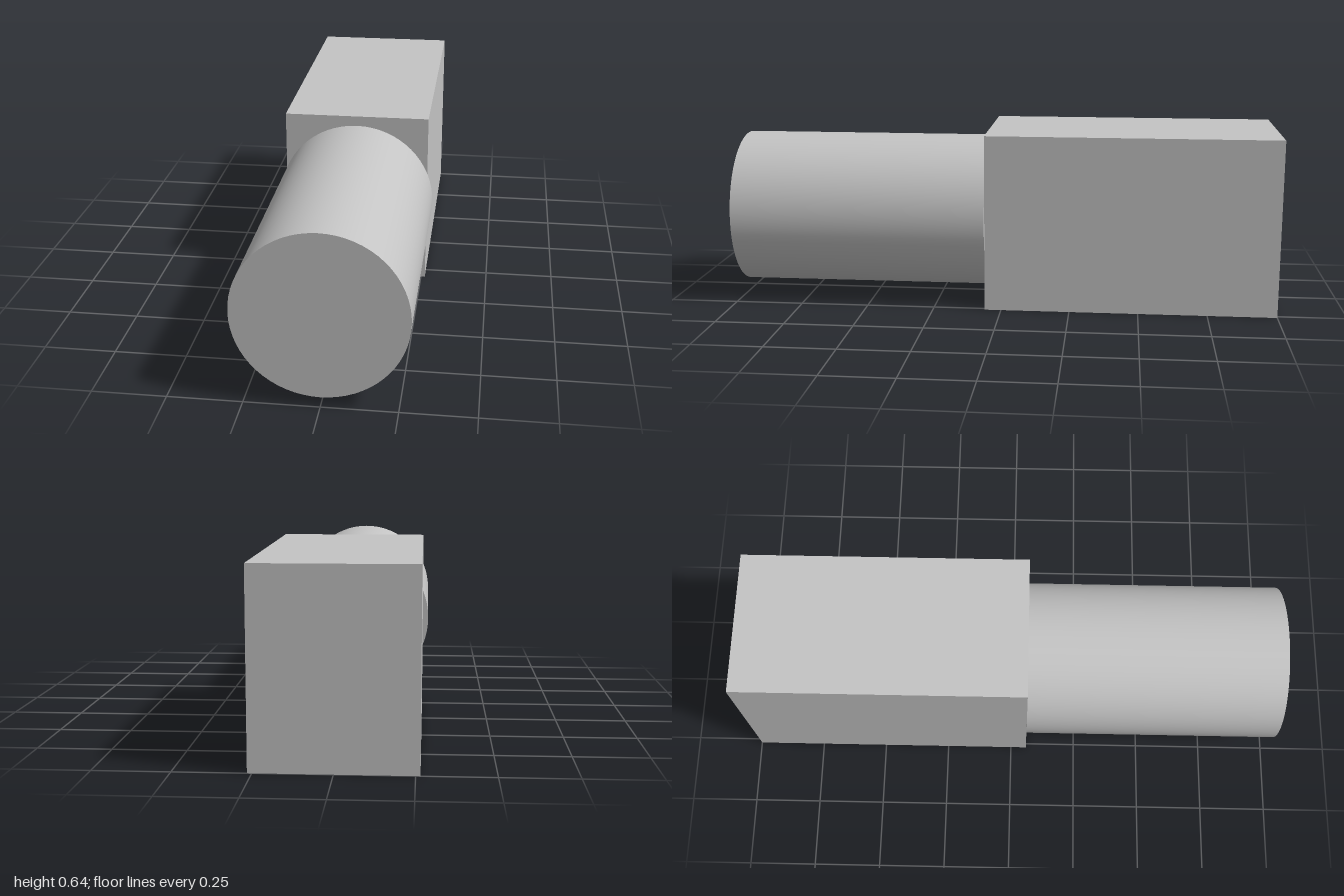
import * as THREE from 'three';

export function createModel() {
  const group = new THREE.Group();
  const grey = new THREE.MeshStandardMaterial({ color: 0xc4c4c4 });
  grey.name = 'plain grey';

  const height = 0.645;
  const joint = 0.06; // z where the block meets the cylinder

  // Rectangular block at the back
  const blockLength = joint + 1;
  const block = new THREE.Mesh(new THREE.BoxGeometry(0.53, height, blockLength), grey);
  block.name = 'rearBlock';
  block.position.set(0, height / 2, joint - blockLength / 2);
  group.add(block);

  // Smooth round shaft at the front, slightly wider than the block
  const shaftLength = 1 - joint;
  const shaftGeometry = new THREE.CylinderGeometry(0.286, 0.286, shaftLength, 64);
  shaftGeometry.rotateX(Math.PI / 2);
  const shaft = new THREE.Mesh(shaftGeometry, grey);
  shaft.name = 'frontShaft';
  shaft.position.set(0, height / 2, joint + shaftLength / 2);
  group.add(shaft);

  return group;
}
